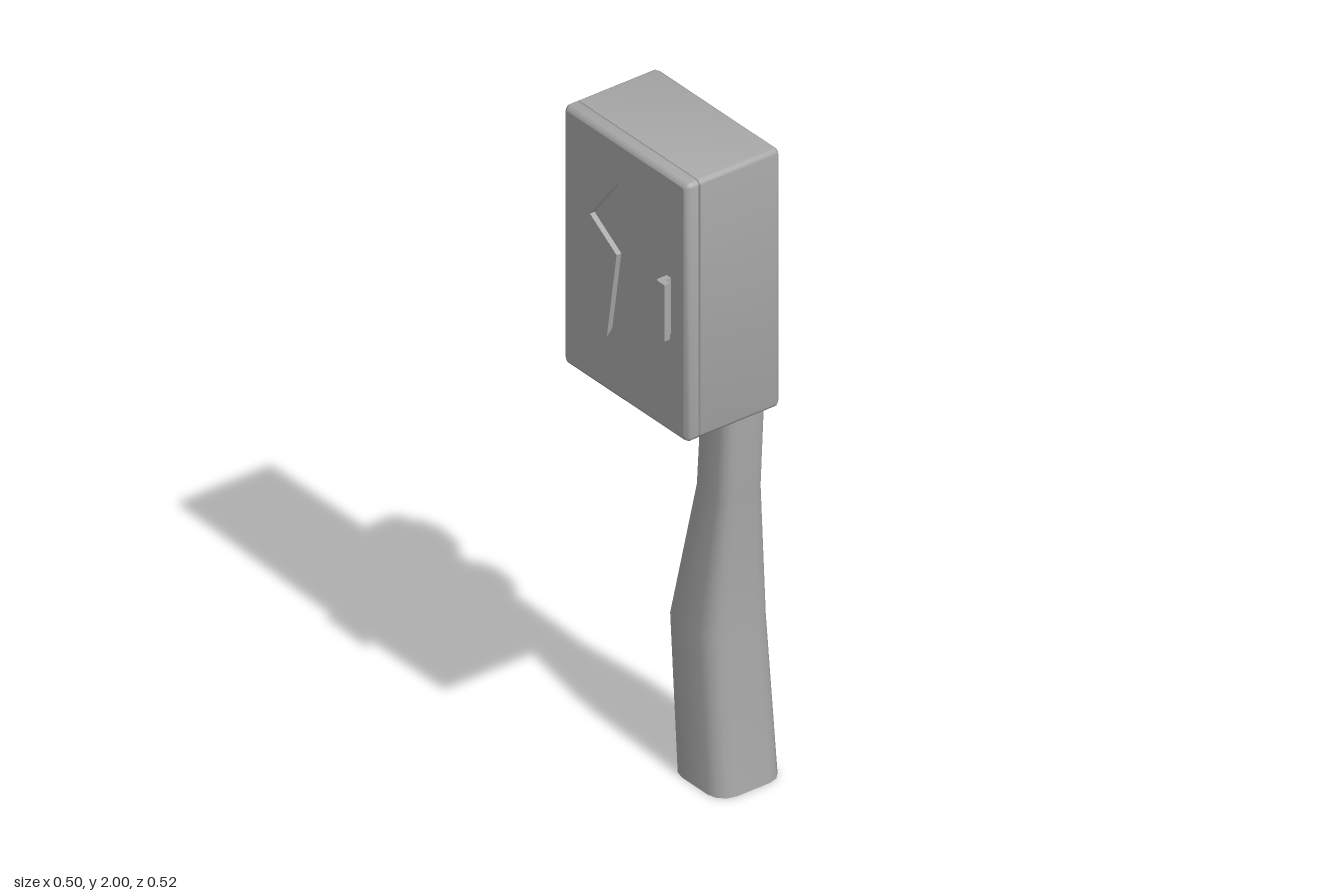
import * as THREE from 'three';
import { toCreasedNormals } from 'three/addons/utils/BufferGeometryUtils.js';

// Rounded rectangle ring, counter-clockwise, at depth z; slope tips the ring along y
function ring(cx, cy, hw, hh, r, z, slope = 0) {
  const pts = [], n = 3;
  for (let c = 0; c < 4; c++) {
    const sx = c === 0 || c === 3 ? 1 : -1, sy = c < 2 ? 1 : -1;
    for (let i = 0; i <= n; i++) {
      const a = (c + i / n) * Math.PI / 2;
      const y = sy * (hh - r) + r * Math.sin(a);
      pts.push(new THREE.Vector3(cx + sx * (hw - r) + r * Math.cos(a), cy + y, z - slope * y));
    }
  }
  return pts;
}

// Skin a row of rings running towards +z, with optional end caps
function loft(rings, capStart = true, capEnd = true) {
  const pos = [], n = rings[0].length;
  const tri = (...p) => p.forEach(v => pos.push(v.x, v.y, v.z));
  for (let k = 0; k + 1 < rings.length; k++) {
    const a = rings[k], b = rings[k + 1];
    for (let i = 0; i < n; i++) {
      const j = (i + 1) % n;
      tri(a[i], a[j], b[j]);
      tri(a[i], b[j], b[i]);
    }
  }
  const first = rings[0], last = rings[rings.length - 1];
  for (let i = 1; i + 1 < n; i++) {
    if (capStart) tri(first[0], first[i + 1], first[i]);
    if (capEnd) tri(last[0], last[i], last[i + 1]);
  }
  const g = new THREE.BufferGeometry();
  g.setAttribute('position', new THREE.Float32BufferAttribute(pos, 3));
  return toCreasedNormals(g, 0.75);
}

export function createModel() {
  const model = new THREE.Group();
  model.name = 'poleMountedElectricalBox';
  const grey = new THREE.MeshStandardMaterial({ color: 0xa8a8a8 });
  grey.name = 'grey';
  const add = (parent, name, geometry) => {
    const m = new THREE.Mesh(geometry, grey);
    m.name = name;
    parent.add(m);
    return m;
  };

  // Bent pole: [height, x centre, z centre, half width, half depth, tilt]
  const sections = [
    [0, 0.142, -0.03, 0.105, 0.105, 0],
    [0.45, 0.144, -0.072, 0.1, 0.101, 0],
    [0.85, 0.144, -0.028, 0.066, 0.068, 0],
    [1.3, 0.143, 0.001, 0.065, 0.066, 0.04],
    [1.712, 0.143, -0.036, 0.064, 0.066, 0.1]
  ];
  const pole = loft(sections.map(([y, x, z, w, d, s]) => ring(x, -z, w, d, w * 0.5, y, s)));
  add(model, 'pole', pole.rotateX(-Math.PI / 2));

  // Clamp collars
  for (const [y, z] of [[1.357, -0.003], [1.625, -0.023]]) {
    const collar = add(model, 'collar',
      toCreasedNormals(new THREE.CylinderGeometry(0.102, 0.102, 0.063, 12), 0.4));
    collar.position.set(0.143, y, z);
    collar.rotation.x = -0.1;
  }

  // Cabinet frame: local +z points out of the door (world -x), local x is world z
  const cabinet = new THREE.Group();
  cabinet.name = 'cabinet';
  cabinet.rotation.y = -Math.PI / 2;
  model.add(cabinet);
  const rim = (z, inset) => ring(0.0075, 1.62, 0.2525 - inset, 0.38 - inset, 0.014 - inset * 0.5, z);
  add(cabinet, 'cabinetBody', loft([
    rim(-0.085, 0.013), rim(-0.081, 0.005), rim(-0.073, 0), rim(0.172, 0), rim(0.1745, 0.003)
  ]));
  add(cabinet, 'doorEdge', loft([
    rim(0.1745, 0.003), rim(0.177, 0), rim(0.203, 0), rim(0.211, 0.005), rim(0.215, 0.013)
  ], true, false));

  // Door face with a recessed lightning bolt
  const bolt = [[-0.027, 1.87], [-0.136, 1.73], [-0.027, 1.66], [-0.067, 1.4],
    [0.085, 1.65], [-0.03, 1.725], [0.12, 1.84]].map(p => new THREE.Vector2(...p));
  const face = new THREE.Shape(rim(0, 0.013).map(p => new THREE.Vector2(p.x, p.y)));
  face.holes.push(new THREE.Path(bolt));
  add(cabinet, 'doorFace', new THREE.ExtrudeGeometry(face, { depth: 0.015, bevelEnabled: false }))
    .position.z = 0.2;
  add(cabinet, 'boltRecess', new THREE.ShapeGeometry(new THREE.Shape(bolt))).position.z = 0.2;

  // Hinges
  for (const y of [1.37, 1.845]) {
    add(model, 'hinge', new THREE.CylinderGeometry(0.013, 0.013, 0.09, 16))
      .position.set(-0.175, y, -0.249);
  }

  // L-shaped door handle
  const outline = [[-0.21, -0.195], [-0.233, -0.195], [-0.233, -0.215], [-0.251, -0.215],
    [-0.251, -0.188], [-0.248, -0.181], [-0.241, -0.178], [-0.21, -0.178]];
  const handle = new THREE.ExtrudeGeometry(
    new THREE.Shape(outline.map(p => new THREE.Vector2(...p))), { depth: 0.165, bevelEnabled: false });
  add(model, 'handle', handle.rotateX(-Math.PI / 2)).position.y = 1.535;

  return model;
}
